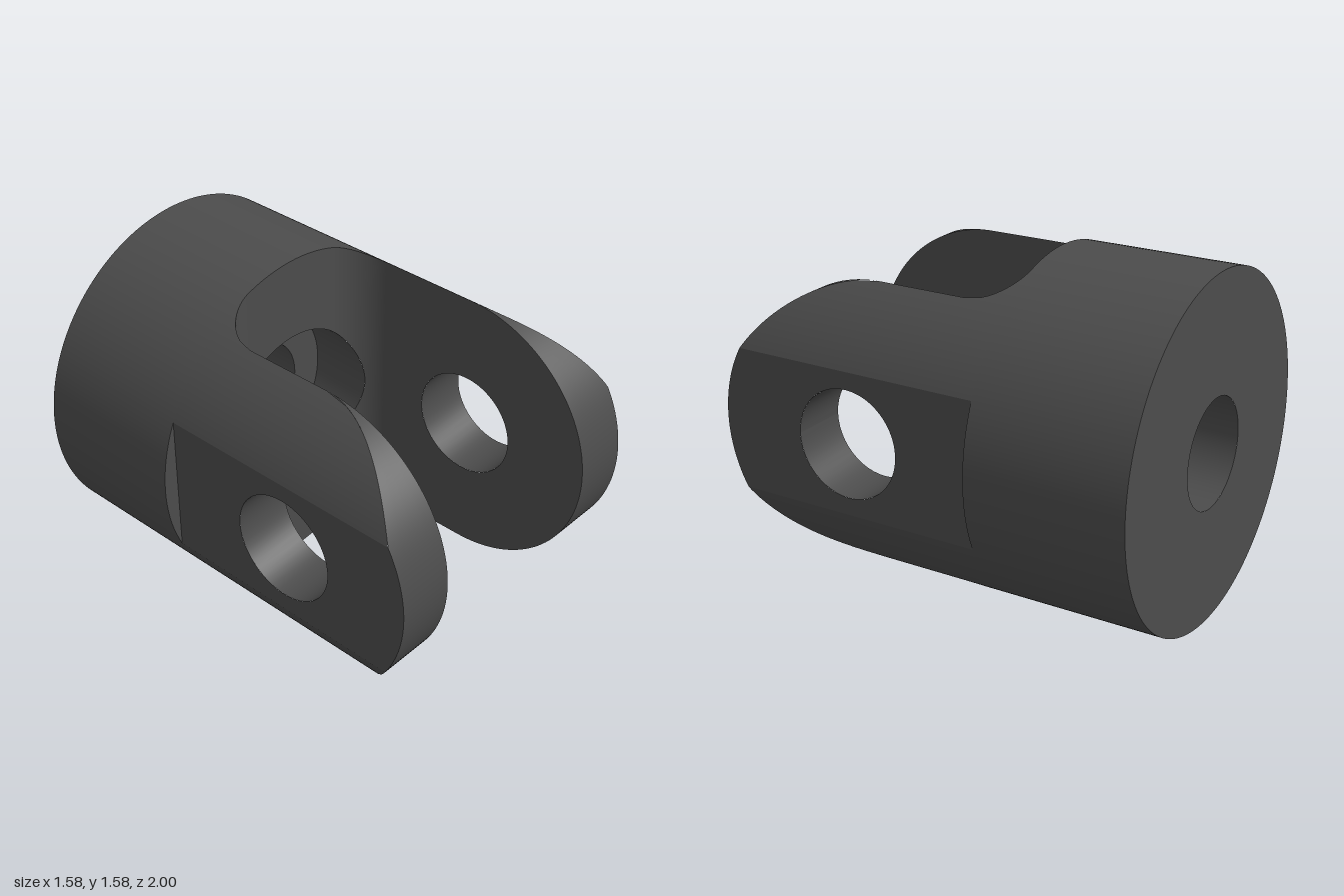
import * as THREE from 'three';

const R = 0.789;            // barrel radius
const SLOT = 0.452;         // half width of the slot
const FLAT = 0.718;         // distance of the side flats from the axis
const STEP = -0.27;         // slot floor and start of the flats
const FILLET = 0.2;         // slot corner radius
const END = Math.sqrt(R * R - SLOT * SLOT);       // radius of the rounded arm ends
const FLAT_H = Math.sqrt(R * R - FLAT * FLAT);    // half height of the flats
const PIN_Z = 1 - END, HOLE = 0.247;
const BORE = 0.247, COUNTER = 0.405, COUNTER_Z = -0.5;

const material = new THREE.MeshStandardMaterial({ color: 0x4c4c4c });

const range = (a, b, n) => Array.from({ length: n + 1 }, (_, i) => a + (b - a) * i / n);
const chord = (y) => Math.sqrt(Math.max(0, R * R - y * y));
const armEnd = (y) => PIN_Z + Math.sqrt(Math.max(0, END * END - y * y));

// angles round the barrel, shared by all surfaces that meet on it
const A_FLAT = Math.acos(FLAT / R), A_SLOT = Math.acos(SLOT / R);
const A_RIDGE = Math.acos((SLOT - FILLET) / R);
const flatArc = range(-A_FLAT, A_FLAT, 24);
const skinArc = range(A_FLAT, A_SLOT, 24);
const ridgeArc = range(A_SLOT, A_RIDGE, 16);
const topArc = range(A_RIDGE, Math.PI - A_RIDGE, 16);
const mirrored = (arc, sum) => arc.map((t) => sum - t).reverse();
const joined = (...arcs) => arcs.flatMap((arc, i) => (i ? arc.slice(1) : arc));
const slotArc = joined(ridgeArc, topArc, mirrored(ridgeArc, Math.PI));
const halfTurn = joined(flatArc, skinArc, slotArc, mirrored(skinArc, Math.PI));
const barrelTurn = joined(halfTurn, halfTurn.map((t) => t + Math.PI));

// depth of the filleted slot floor at x
function slotFloor(x) {
  const d = Math.min(FILLET, Math.max(0, Math.abs(x) - (SLOT - FILLET)));
  return STEP + FILLET - Math.sqrt(FILLET * FILLET - d * d);
}

// surface over two parameter lists, facing dU x dV
function patch(name, us, vs, point) {
  const positions = [], index = [], n = vs.length;
  us.forEach((u, i) => vs.forEach((v, j) => {
    positions.push(...point(u, v));
    if (i && j) {
      const d = i * n + j, c = d - 1, b = d - n, a = b - 1;
      index.push(a, c, d, a, d, b);
    }
  }));
  const geometry = new THREE.BufferGeometry();
  geometry.setAttribute('position', new THREE.Float32BufferAttribute(positions, 3));
  geometry.setIndex(index);
  geometry.computeVertexNormals();
  return named(name, geometry);
}

function named(name, geometry) {
  const mesh = new THREE.Mesh(geometry, material);
  mesh.name = name;
  return mesh;
}

// arm cheek outline in (z, y) with a rounded end and the pin hole
function cheekShape(zStart, halfHeight, dir) {
  const a = Math.asin(halfHeight / END);
  const points = [new THREE.Vector2(dir * zStart, -halfHeight)];
  for (const t of range(-a, a, 72)) {
    points.push(new THREE.Vector2(dir * (PIN_Z + END * Math.cos(t)), END * Math.sin(t)));
  }
  points.push(new THREE.Vector2(dir * zStart, halfHeight));
  const shape = new THREE.Shape(points);
  shape.holes.push(new THREE.Path().absarc(dir * PIN_Z, 0, HOLE, 0, Math.PI * 2));
  return new THREE.ShapeGeometry(shape, 48);
}

// the arm on the +x side
function createArm(name) {
  const arm = new THREE.Group();
  arm.name = name;

  const inner = cheekShape(STEP + FILLET, END, 1).rotateY(-Math.PI / 2).translate(SLOT, 0, 0);
  const outer = cheekShape(STEP, FLAT_H, -1).rotateY(Math.PI / 2).translate(FLAT, 0, 0);
  arm.add(named('innerCheek', inner), named('outerFlat', outer));

  // curved outside above and below the flat, and the ridge beside the slot fillet
  const skin = (end) => (t, v) => {
    const x = R * Math.cos(t), y = R * Math.sin(t);
    return [x, y, STEP + (end(x, y) - STEP) * v];
  };
  for (const place of [(arc) => arc, (arc) => mirrored(arc, 0)]) {
    arm.add(patch('armSkin', place(skinArc), range(0, 1, 4), skin((x, y) => armEnd(y))));
    arm.add(patch('filletSkin', place(ridgeArc), range(0, 1, 2), skin((x) => slotFloor(x))));
  }

  // rounded end, trimmed by the flat and the barrel radius
  arm.add(patch('roundedEnd', range(0, 1, 4), range(-Math.PI / 2, Math.PI / 2, 72), (u, t) => {
    const y = END * Math.sin(t);
    const xMax = Math.min(FLAT, chord(y));
    return [SLOT + (xMax - SLOT) * u, y, PIN_Z + END * Math.cos(t)];
  }));

  // shoulder behind the flat
  arm.add(patch('shoulder', [0, 1], flatArc, (u, t) =>
    [FLAT + (R * Math.cos(t) - FLAT) * u, R * Math.sin(t), STEP]));

  // pin hole wall
  arm.add(patch('pinHole', [SLOT, FLAT], range(0, Math.PI * 2, 48), (x, t) =>
    [x, -HOLE * Math.sin(t), PIN_Z + HOLE * Math.cos(t)]));
  return arm;
}

export function createModel() {
  const model = new THREE.Group();
  model.name = 'clevis';
  const turnBack = range(Math.PI * 2, 0, 96);

  // solid rear barrel
  model.add(patch('barrel', barrelTurn, [-1, STEP], (t, z) =>
    [R * Math.cos(t), R * Math.sin(t), z]));
  model.add(patch('backFace', [R, BORE], barrelTurn, (r, t) =>
    [r * Math.cos(t), r * Math.sin(t), -1]));

  // stepped bore along the axis
  model.add(patch('bore', turnBack, [-1, COUNTER_Z], (t, z) =>
    [BORE * Math.cos(t), BORE * Math.sin(t), z]));
  model.add(named('counterboreFloor',
    new THREE.RingGeometry(BORE, COUNTER, 96).translate(0, 0, COUNTER_Z)));
  model.add(patch('counterboreWall', turnBack, [0, 1], (t, v) => {
    const x = COUNTER * Math.cos(t);
    return [x, COUNTER * Math.sin(t), COUNTER_Z + (slotFloor(x) - COUNTER_Z) * v];
  }));

  // filleted slot floor around the counterbore
  const sideArc = range(-A_SLOT, A_SLOT, 48);
  const floorHalf = joined(sideArc, slotArc);
  const floorTurn = joined(floorHalf, floorHalf.map((t) => t + Math.PI));
  model.add(patch('slotFloor', range(0, Math.PI / 2, 28), floorTurn, (u, t) => {
    const rim = Math.min(R, SLOT / Math.max(1e-6, Math.abs(Math.cos(t))));
    const r = COUNTER + (rim - COUNTER) * Math.sin(u);
    return [r * Math.cos(t), r * Math.sin(t), slotFloor(r * Math.cos(t))];
  }));

  // two arms, the second turned half way round the axis
  const leftArm = createArm('leftArm');
  const rightArm = createArm('rightArm');
  rightArm.rotation.z = Math.PI;
  model.add(leftArm, rightArm);

  // lift so the barrel rests on the ground
  model.children.forEach((part) => { part.position.y = R; });
  return model;
}
